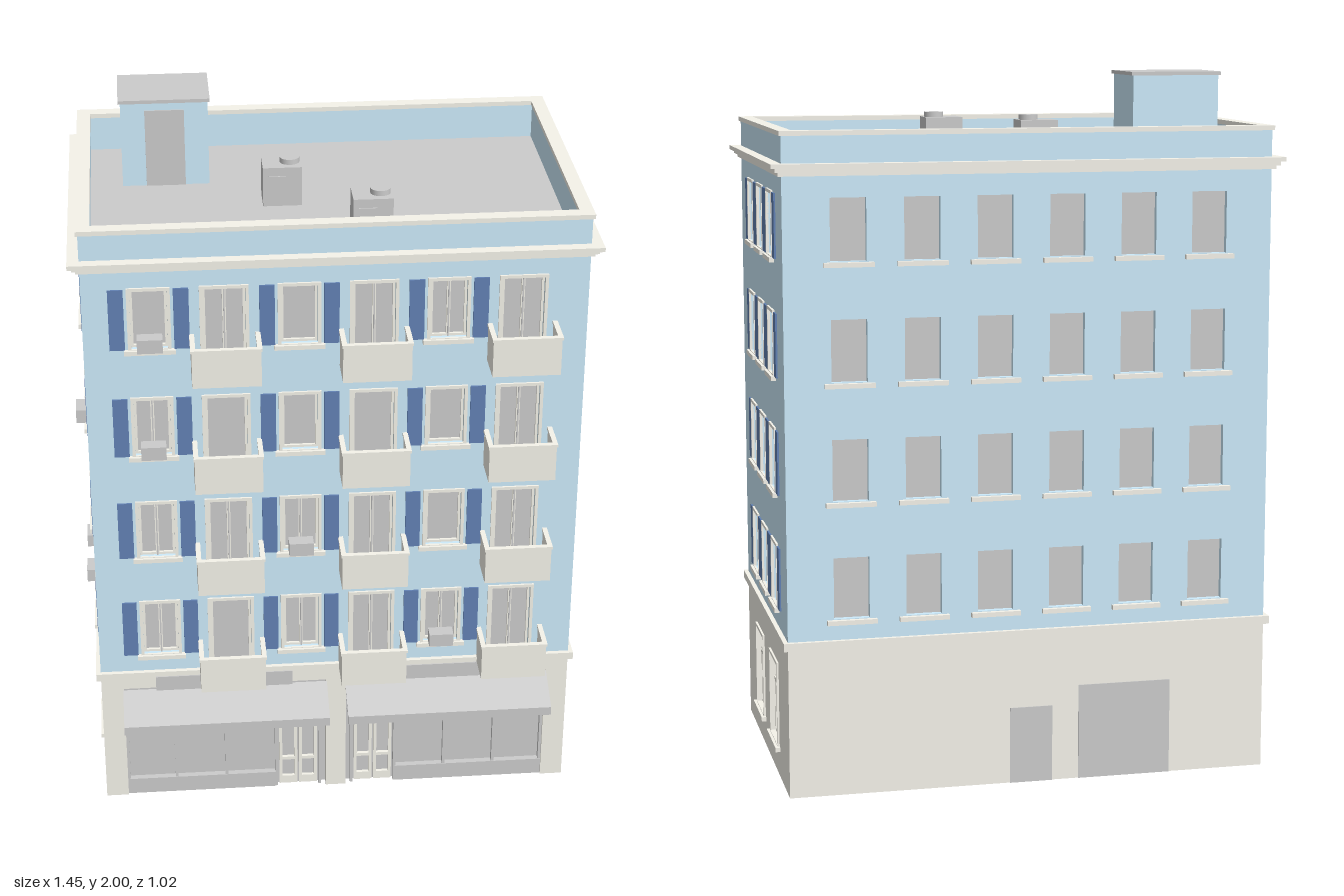
import * as THREE from 'three';

const mat = (color) => new THREE.MeshStandardMaterial({ color, side: THREE.DoubleSide });
const grey = mat(0xcccccc), cream = mat(0xf5f3ea), blue = mat(0xccebfb), navy = mat(0x6281b4);

// Building outline, wall thickness, storey grid
const X = 0.69, FRONT = 0.40, BACK = -0.48, ZC = (FRONT + BACK) / 2, T = 0.03;
const BASE = 0.44, STOREY = 0.331, DECK = 1.74, TOP = 1.84;
const COLS = [-0.51, -0.306, -0.102, 0.102, 0.306, 0.51];

function add(parent, name, geometry, material) {
  const mesh = new THREE.Mesh(geometry, material);
  mesh.name = name;
  parent.add(mesh);
  return mesh;
}

// Box given by its lower and upper bounds
function box(parent, name, material, x0, x1, y0, y1, z0, z1) {
  const m = add(parent, name, new THREE.BoxGeometry(x1 - x0, y1 - y0, z1 - z0), material);
  m.position.set((x0 + x1) / 2, (y0 + y1) / 2, (z0 + z1) / 2);
  return m;
}

function group(parent, name, x = 0, y = 0, z = 0) {
  const g = new THREE.Group();
  g.name = name;
  g.position.set(x, y, z);
  parent.add(g);
  return g;
}

function rect(Type, x0, x1, y0, y1) {
  return new Type([[x0, y0], [x1, y0], [x1, y1], [x0, y1]].map((p) => new THREE.Vector2(...p)));
}

// Upright panel with rectangular holes, occupying z0..z1
function panel(parent, name, material, bounds, holes, z0, z1) {
  const shape = rect(THREE.Shape, ...bounds);
  holes.forEach((h) => shape.holes.push(rect(THREE.Path, ...h)));
  const geometry = new THREE.ExtrudeGeometry(shape, { depth: z1 - z0, bevelEnabled: false });
  return add(parent, name, geometry.translate(0, 0, z0), material);
}

// Horizontal band around the building: projects by out, reaches inward by inset
function band(parent, name, material, out, inset, y0, y1) {
  const shape = rect(THREE.Shape, -X - out, X + out, -FRONT - out, -BACK + out);
  shape.holes.push(rect(THREE.Path, -X + inset, X - inset, -FRONT + inset, -BACK - inset));
  const geometry = new THREE.ExtrudeGeometry(shape, { depth: y1 - y0, bevelEnabled: false });
  add(parent, name, geometry.rotateX(-Math.PI / 2).translate(0, y0, 0), material);
}

// Window or balcony door filling the opening [x0, x1, y0, y1]
function windowUnit(wall, [x0, x1, y0, y1], { trim = true, double = true, sill = true, rail = 0 } = {}) {
  const w = group(wall, 'window');
  box(w, 'glass', grey, x0, x1, y0, y1, -0.024, -0.018);
  if (sill) box(w, 'sill', cream, x0 - 0.02, x1 + 0.02, y0 - 0.015, y0 - 0.002, -0.01, 0.014);
  if (!trim) return;
  const e = 0.009, s = 0.007, c = (x0 + x1) / 2;
  panel(w, 'surround', cream, [x0 - e, x1 + e, y0 - 0.003, y1 + e], [[x0, x1, y0, y1]], -0.002, 0.006);
  const panes = double
    ? [[x0 + s, c - 0.005, y0 + s, y1 - s], [c + 0.005, x1 - s, y0 + s, y1 - s]]
    : [[x0 + s, x1 - s, y0 + s, y1 - s]];
  panel(w, 'sash', cream, [x0, x1, y0, y1], panes, -0.018, -0.01);
  if (double) box(w, 'meetingStile', grey, c - 0.002, c + 0.002, y0, y1, -0.012, -0.006);
  if (rail) box(w, 'crossRail', cream, x0, x1, rail - 0.005, rail + 0.005, -0.018, -0.008);
}

function shutters(wall, x, y) {
  for (const s of [-1, 1]) {
    const c = x + s * 0.088;
    box(wall, 'shutter', navy, c - 0.021, c + 0.021, y + 0.065, y + 0.245, 0, 0.005);
  }
}

function airConditioner(wall, x, y) {
  box(wall, 'airConditioner', grey, x - 0.035, x + 0.035, y + 0.068, y + 0.108, -0.005, 0.036);
}

function balcony(wall, x, y) {
  const b = group(wall, 'balcony', x, y, 0), w = 0.094, d = 0.104;
  box(b, 'slab', cream, -w, w, -0.008, 0.012, 0, d);
  box(b, 'frontPanel', cream, -w, w, 0.012, 0.098, d - 0.008, d);
  for (const s of [-1, 1]) {
    const c = s * (w - 0.004);
    box(b, 'sidePanel', cream, c - 0.004, c + 0.004, 0.012, 0.098, 0, d - 0.008);
    box(b, 'sideRail', cream, c - 0.007, c + 0.007, 0.098, 0.106, 0, d);
  }
  box(b, 'frontRail', cream, -w - 0.003, w + 0.003, 0.098, 0.106, d - 0.011, d + 0.004);
}

// Upper storeys of one side; types holds a row per storey, bottom first (d = two sashes)
function upperWall(wall, half, cols, types, { plain = false, balconies = false, units = [] } = {}) {
  const holes = [];
  types.forEach((row, k) => cols.forEach((x, i) => {
    const y = BASE + k * STOREY, door = balconies && i % 2 === 1;
    const hw = door ? 0.058 : 0.05;
    const hole = [x - hw, x + hw, y + (door ? 0.014 : 0.067), y + 0.24];
    holes.push(hole);
    windowUnit(wall, hole, { trim: !plain, double: row[i] === 'd', sill: !door });
    if (door) balcony(wall, x, y);
    else if (!plain) shutters(wall, x, y);
  }));
  panel(wall, 'upperWall', blue, [-half, half, BASE, TOP], holes, -T, 0);
  units.forEach(([i, k]) => airConditioner(wall, cols[i], BASE + k * STOREY));
}

// Shopfront with its door at the +x end; dir mirrors it
function shop(wall, dir) {
  const s = group(wall, 'shopfront');
  const b = (name, m, x0, x1, ...r) => box(s, name, m, Math.min(dir * x0, dir * x1), Math.max(dir * x0, dir * x1), ...r);
  b('shopGlass', grey, -0.625, -0.03, 0, 0.385, -0.03, -0.024);
  b('bulkhead', grey, -0.625, -0.18, 0, 0.052, -0.024, -0.006);
  b('transom', grey, -0.625, -0.03, 0.28, 0.30, -0.024, -0.006);
  b('fascia', grey, -0.625, -0.03, 0.33, 0.385, -0.024, -0.004);
  for (const x of [-0.621, -0.478, -0.328, -0.178, -0.048]) b('mullion', grey, x - 0.004, x + 0.004, 0, 0.33, -0.024, -0.008);
  for (const x of [-0.142, -0.083]) {
    const c = dir * x;
    panel(s, 'doorLeaf', cream, [c - 0.027, c + 0.027, 0.004, 0.276],
      [[c - 0.018, c + 0.018, 0.1, 0.265], [c - 0.018, c + 0.018, 0.03, 0.09]], -0.024, -0.014);
  }
  b('signBoard', grey, -0.53, -0.13, 0.385, 0.432, 0, 0.016);
  // Sloping cloth with a short valance, extruded along x
  const cloth = new THREE.Shape([[0, 0.38], [0.111, 0.325], [0.111, 0.298], [0.107, 0.298], [0.107, 0.321], [0, 0.374]]
    .map(([z, y]) => new THREE.Vector2(-z, y)));
  const awning = add(s, 'awning', new THREE.ExtrudeGeometry(cloth, { depth: 0.6, bevelEnabled: false }), grey);
  awning.rotation.y = Math.PI / 2;
  awning.position.x = dir < 0 ? 0.027 : -0.627;
  for (const x of [-0.62, -0.035]) {
    const path = new THREE.LineCurve3(new THREE.Vector3(dir * x, 0.278, 0), new THREE.Vector3(dir * x, 0.318, 0.106));
    add(s, 'awningArm', new THREE.TubeGeometry(path, 1, 0.003, 6), grey);
  }
}

function sideWall(root, name, dir, types, units) {
  const wall = group(root, name, dir * X, 0, ZC);
  wall.rotation.y = dir * Math.PI / 2;
  const half = (FRONT - BACK) / 2 - T;
  upperWall(wall, half, [-0.205, 0, 0.205], types, { units });
  const holes = [-0.153, 0.153].map((x) => [x - 0.075, x + 0.075, 0.09, 0.327]);
  panel(wall, 'groundWall', cream, [-half, half, 0, BASE], holes, -T, 0);
  holes.forEach((h) => windowUnit(wall, h, { double: false, rail: 0.25 }));
}

export function createModel() {
  const root = new THREE.Group();
  root.name = 'apartmentBuilding';

  // Front: shops below, windows and balconies above
  const front = group(root, 'frontWall', 0, 0, FRONT);
  upperWall(front, X, COLS, ['dsdddd', 'ddddsd', 'dssssd', 'sdsddd'],
    { balconies: true, units: [[0, 3], [0, 2], [2, 1], [4, 0]] });
  for (const [a, b] of [[-X, -0.625], [-0.03, 0.03], [0.625, X]]) box(front, 'pier', cream, a, b, 0, 0.385, -T, 0);
  box(front, 'lintel', cream, -X, X, 0.385, BASE, -T, 0);
  shop(front, 1);
  shop(front, -1);

  // Back: plain windows, service door and garage door
  const back = group(root, 'backWall', 0, 0, BACK);
  back.rotation.y = Math.PI;
  upperWall(back, X, COLS, Array(4).fill('ssssss'), { plain: true });
  box(back, 'groundWall', cream, -X, X, 0, BASE, -T, 0);
  box(back, 'serviceDoor', grey, -0.06, 0.063, 0, 0.22, -0.002, 0.003);
  box(back, 'garageDoor', grey, 0.14, 0.41, 0, 0.275, -0.002, 0.003);

  sideWall(root, 'leftWall', 1, ['dsd', 'sdd', 'ddd', 'ddd'], []);
  sideWall(root, 'rightWall', -1, ['ddd', 'dds', 'ddd', 'dsd'], [[0, 0], [1, 0], [2, 2]]);

  // Horizontal mouldings
  band(root, 'groundLedge', cream, 0.013, 0, 0.425, 0.448);
  band(root, 'lowerCornice', cream, 0.01, 0, 1.732, 1.743);
  band(root, 'middleCornice', cream, 0.02, 0, 1.743, 1.754);
  band(root, 'upperCornice', cream, 0.032, 0, 1.754, 1.766);
  band(root, 'parapetCap', cream, 0.006, T + 0.003, TOP, 1.853);

  // Roof with stair house and vents
  box(root, 'roofDeck', grey, -X + T, X - T, DECK - 0.01, DECK, BACK + T, FRONT - T);
  const stair = group(root, 'stairHouse', -0.443, DECK, -0.265);
  box(stair, 'stairWalls', blue, -0.124, 0.124, 0, 0.25, -0.1, 0.1);
  box(stair, 'stairRoof', grey, -0.13, 0.13, 0.25, 0.26, -0.106, 0.106);
  box(stair, 'stairDoor', grey, -0.056, 0.056, 0, 0.228, 0.098, 0.104);
  for (const [x, z] of [[-0.12, -0.032], [0.112, 0.21]]) {
    const vent = group(root, 'roofVent', x, DECK, z);
    box(vent, 'ventBox', grey, -0.055, 0.055, 0, 0.115, -0.047, 0.047);
    box(vent, 'ventGrille', grey, -0.04, 0.01, 0.03, 0.09, 0.047, 0.051);
    add(vent, 'ventCap', new THREE.CylinderGeometry(0.028, 0.028, 0.015, 20), grey).position.set(0.023, 0.1225, 0);
  }
  return root;
}
